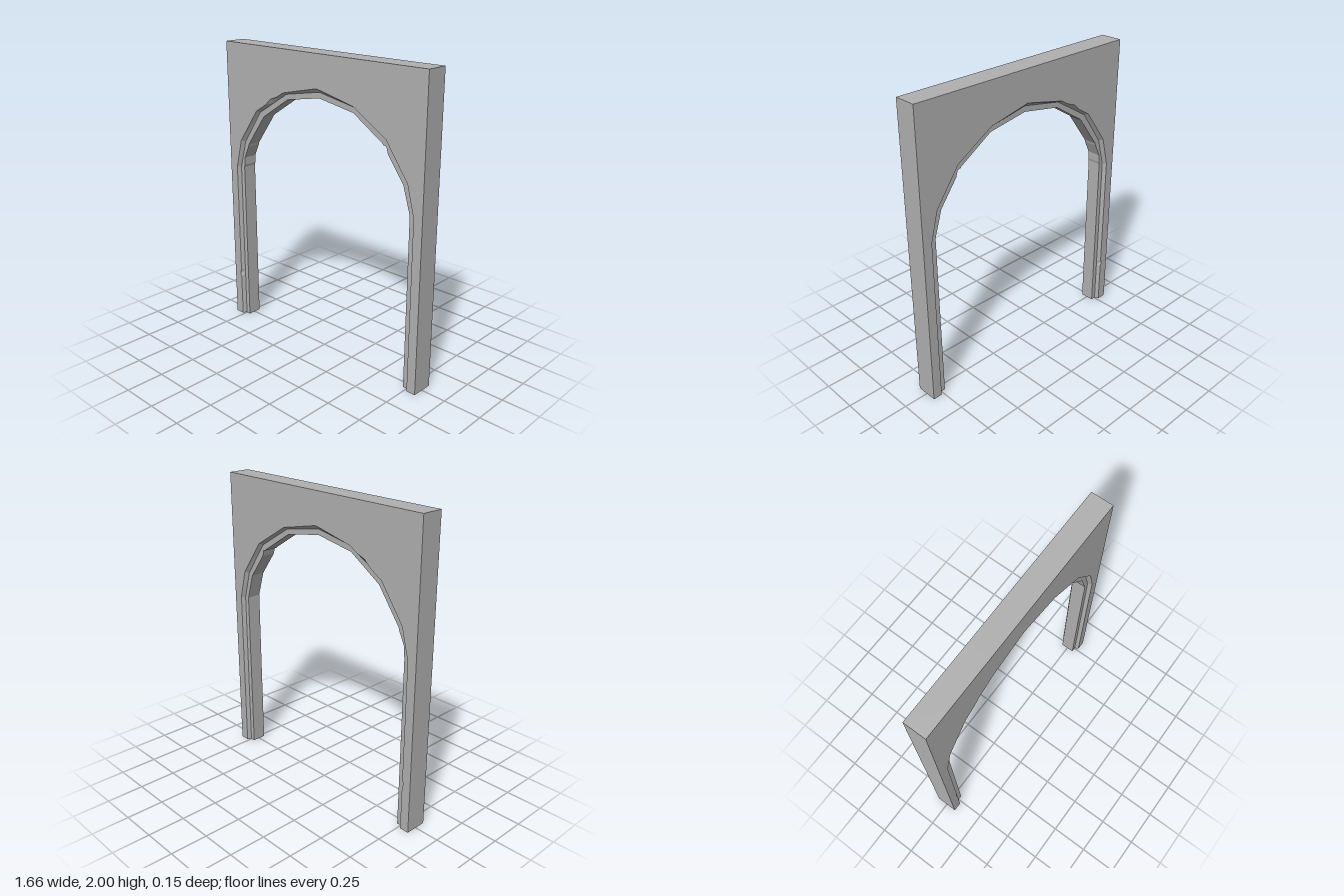
import * as THREE from 'three';

// One half of the arch, foot to crown: [outer edge, face edge, rebate edge, inner edge] as x, y pairs
const HALF = [
  [[0.83, 0], [0.767, 0], [0.753, 0], [0.72, 0]],
  [[0.83, 1.14], [0.767, 1.14], [0.753, 1.135], [0.72, 1.14]],
  [[0.83, 1.34], [0.715, 1.337], [0.7, 1.325], [0.667, 1.312]],
  [[0.83, 2], [0.55, 1.566], [0.54, 1.555], [0.507, 1.53]],
  [[0.295, 2], [0.294, 1.722], [0.287, 1.71], [0.278, 1.676]],
  [[0, 2], [0, 1.787], [0, 1.762], [0, 1.724]],
];
const FACE_Z = 0.074, REBATE_Z = 0.048;

// Chipped edges: [segment, start, deepest, end, profile point, depth]
const CHIPS = [
  [0, 0.26, 0.285, 0.31, 1, 0.01],
  [1, 0.1, 0.4, 0.9, 3, 0.014],
  [3, 0.35, 0.55, 0.8, 1, 0.013],
  [7, 0.03, 0.1, 0.25, 3, 0.014],
];

const mix = (a, b, t) => a.map((p, k) => p.map((v, j) => v + (b[k][j] - v) * t));

// Push one profile point away from the opening
function chip(station, k, depth) {
  const [p, q] = [station[k], station[k - 1]];
  const len = Math.hypot(q[0] - p[0], q[1] - p[1]);
  station[k] = p.map((v, j) => v + (q[j] - v) * depth / len);
  return station;
}

function archStations() {
  const left = HALF.map(s => s.map(([x, y]) => [-x, y]));
  const base = [...left, ...HALF.slice(0, -1).reverse()];
  const out = [];
  base.forEach((s, i) => {
    out.push(s);
    for (const [seg, t0, t1, t2, k, depth] of CHIPS) {
      if (seg !== i) continue;
      const next = base[i + 1];
      out.push(mix(s, next, t0), chip(mix(s, next, t1), k, depth), mix(s, next, t2));
    }
  });
  return out;
}

// Closed eight-point section, front to back
function ring(s) {
  const z = [FACE_Z, FACE_Z, REBATE_Z, REBATE_Z];
  const front = s.map(([x, y], k) => [x, y, z[k]]);
  return [...front, ...front.map(([x, y, d]) => [x, y, -d]).reverse()];
}

function archGeometry() {
  const rings = archStations().map(ring);
  const pos = [];
  const quad = (a, b, c, d) => pos.push(...a, ...b, ...c, ...a, ...c, ...d);
  for (let i = 0; i < rings.length - 1; i++) {
    const [r, n] = [rings[i], rings[i + 1]];
    for (let k = 0; k < 8; k++) {
      const m = (k + 1) % 8;
      quad(r[k], r[m], n[m], n[k]);
    }
  }
  // Undersides of the two feet
  const first = rings[0], last = rings[rings.length - 1];
  for (let k = 0; k < 3; k++) {
    quad(first[7 - k], first[6 - k], first[k + 1], first[k]);
    quad(last[k], last[k + 1], last[6 - k], last[7 - k]);
  }
  const g = new THREE.BufferGeometry();
  g.setAttribute('position', new THREE.Float32BufferAttribute(pos, 3));
  g.computeVertexNormals();
  return g;
}

export function createModel() {
  const group = new THREE.Group();
  group.name = 'archway';
  const stone = new THREE.MeshStandardMaterial({ color: 0xb0b0b0 });
  stone.name = 'grey stone';
  const frame = new THREE.Mesh(archGeometry(), stone);
  frame.name = 'archFrame';
  group.add(frame);
  return group;
}
